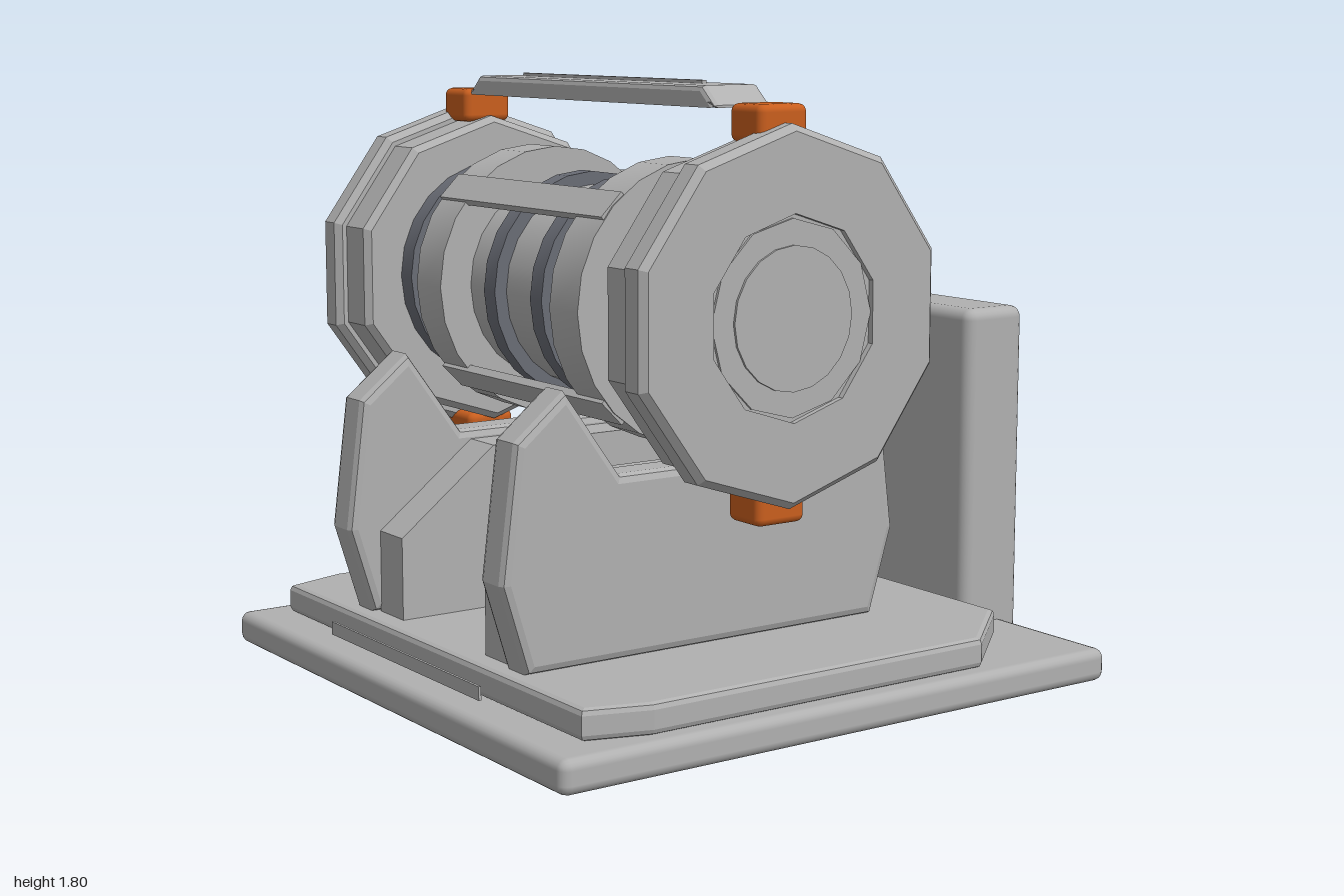
import * as THREE from 'three';
import { toCreasedNormals } from 'three/addons/utils/BufferGeometryUtils.js';
import { RoundedBoxGeometry } from 'three/addons/geometries/RoundedBoxGeometry.js';

const material = (name, color) => {
  const m = new THREE.MeshStandardMaterial({ color });
  m.name = name;
  return m;
};

export function createModel() {
  const grey = material('light grey metal', 0xb0b0b0);
  const dark = material('dark grey metal', 0x696c75);
  const orange = material('orange paint', 0xc85e1e);

  const model = new THREE.Group();
  model.name = 'drumMachine';
  const CZ = 0.207; // depth of the drum axis
  const CY = 1.175; // height of the drum axis

  const add = (parent, name, geometry, mat, x = 0, y = 0, z = 0) => {
    const mesh = new THREE.Mesh(geometry, mat);
    mesh.name = name;
    mesh.position.set(x, y, z);
    parent.add(mesh);
    return mesh;
  };

  // Block with softened edges
  const block = (w, h, d, r) => new RoundedBoxGeometry(w, h, d, 2, r);

  // Outline extruded to an exact depth with chamfered rims, centred on its depth
  const slab = (points, depth, bevel) => {
    const shape = new THREE.Shape(points.map(([x, y]) => new THREE.Vector2(x, y)));
    const g = new THREE.ExtrudeGeometry(shape, {
      depth: depth - 2 * bevel, bevelEnabled: bevel > 0, bevelSize: bevel,
      bevelThickness: bevel, bevelOffset: -bevel, bevelSegments: 2,
    });
    return g.translate(0, 0, -depth / 2 + bevel);
  };

  // Outline given for one half, mirrored across the vertical axis
  const mirrored = (half) => [...half, ...half.map(([x, y]) => [-x, y]).reverse()];

  // Turned part along x from [x, radius] pairs; few sides stay faceted
  const turned = (profile, sides) => {
    const pts = profile.map(([x, r]) => new THREE.Vector2(r, x));
    const g = new THREE.LatheGeometry(pts, sides, Math.PI / 2);
    g.rotateZ(-Math.PI / 2);
    return toCreasedNormals(g, sides > 12 ? 0.6 : 0.1);
  };
  const ring = (x0, x1, r, sides = 24) => turned([[x0, 0], [x0, r], [x1, r], [x1, 0]], sides);

  // Base plates
  add(model, 'basePlate', block(1.92, 0.1, 1.94, 0.03), grey, 0, 0.05, 0.03);
  const deck = slab(mirrored([[0.85, -0.87], [0.91, -0.68], [0.91, 0.48], [0.67, 0.75]]), 0.09, 0.018);
  add(model, 'deckPlate', deck.rotateX(-Math.PI / 2), grey, 0, 0.145, 0);
  add(model, 'frontStrip', new THREE.BoxGeometry(0.87, 0.04, 0.008), grey, 0, 0.146, 0.932);

  // Rear cabinet
  add(model, 'rearCabinet', block(1.02, 1.07, 0.23, 0.035), grey, 0, 0.555, -0.885);

  // Cradle brackets and their inner gussets
  const bracketOutline = mirrored([[0.61, 0.19], [0.69, 0.45], [0.64, 0.84], [0.48, 0.97], [0.3, 0.72]]);
  const gussetOutline = mirrored([[0.59, 0.18], [0.59, 0.44], [0.27, 0.69]]);
  for (const s of [1, -1]) {
    const side = s > 0 ? 'left' : 'right';
    add(model, side + 'CradleBracket', slab(bracketOutline, 0.13, 0.025).rotateY(Math.PI / 2), grey, s * 0.44, 0, CZ);
    add(model, side + 'Gusset', slab(gussetOutline, 0.14, 0).rotateY(Math.PI / 2), grey, s * 0.31, 0, CZ);
  }

  // Drum
  const drum = new THREE.Group();
  drum.name = 'drum';
  drum.position.set(0, CY, CZ);
  model.add(drum);
  add(drum, 'drumCore', ring(-0.67, 0.67, 0.305), grey);

  const flange = [
    [0.665, 0], [0.665, 0.47], [0.685, 0.49], [0.795, 0.49], [0.795, 0.505], [0.815, 0.525],
    [0.875, 0.525], [0.895, 0.505], [0.895, 0.285], [0.877, 0.285], [0.877, 0],
  ];
  for (const s of [1, -1]) {
    const end = new THREE.Group();
    end.name = s > 0 ? 'leftDrumEnd' : 'rightDrumEnd';
    if (s < 0) end.rotation.y = Math.PI;
    drum.add(end);
    add(end, 'flange', turned(flange, 10), grey);
    add(end, 'hubRing', ring(0.87, 0.885, 0.272, 12), grey);
    add(end, 'hubCap', ring(0.87, 0.892, 0.2, 20), grey);
    add(end, 'outerCollar', ring(0.6, 0.67, 0.345), dark);
    add(end, 'wideBand', ring(0.305, 0.45, 0.41), grey);
    add(end, 'innerCollar', ring(0.098, 0.16, 0.345), dark);
    // Clamps above and below the flange
    for (const v of [1, -1]) {
      add(end, v > 0 ? 'topClamp' : 'bottomClamp', block(0.145, 0.105, 0.165, 0.022), orange, 0.772, v * 0.523, 0);
    }
  }

  // Flat rods laid diagonally around the drum
  for (let i = 0; i < 4; i++) {
    const a = Math.PI / 4 + (i * Math.PI) / 2;
    const rod = add(drum, 'tieRod', new THREE.BoxGeometry(0.89, 0.025, 0.095), grey,
      0, 0.403 * Math.cos(a), 0.403 * Math.sin(a));
    rod.rotation.x = a;
  }

  // Top bar with its raised strip
  const bar = mirrored([[0.655, 1.735], [0.655, 1.742], [0.595, 1.795]]);
  add(model, 'topBar', slab(bar, 0.195, 0.016), grey, 0, 0, CZ);
  add(model, 'topBarStrip', new THREE.BoxGeometry(0.95, 0.012, 0.014), grey, 0, 1.799, CZ);

  return model;
}
